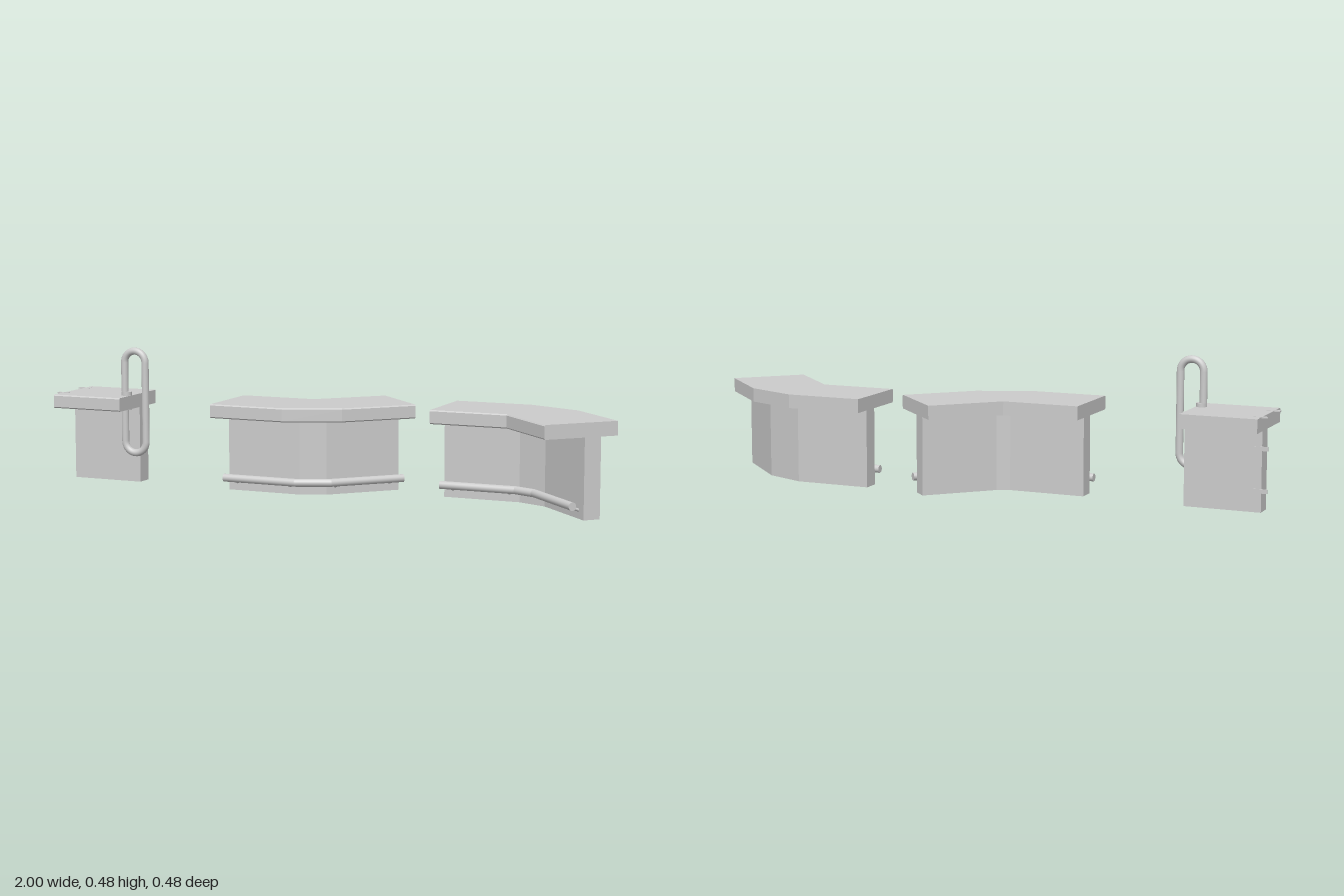
import * as THREE from 'three';

const S = Math.SQRT1_2;
const LEN = 0.265, DEPTH = 0.261, H = 0.265, TOP = 0.312;
const mat = new THREE.MeshStandardMaterial({ color: 0xcccccc });

function add(parent, geo, name) {
  const m = new THREE.Mesh(geo, mat);
  m.name = name;
  parent.add(m);
  return m;
}

// Stations along a counter: p is the floor origin, n the direction across the counter.
// side = +1 bends round its back edge, -1 round its front edge.
function bentStations(x, z, side) {
  const p = new THREE.Vector3(x, 0, z);
  const n0 = new THREE.Vector3(0, 0, side), n1 = new THREE.Vector3(S, 0, S * side);
  return [
    { p: new THREE.Vector3(x - LEN, 0, z), n: n0 }, { p, n: n0 }, { p, n: n1 },
    { p: new THREE.Vector3(x + LEN * S, 0, z - LEN * S * side), n: n1 },
  ];
}
const at = (st, r, y) => st.p.clone().addScaledVector(st.n, r).setY(y);

// Sweeps a convex (r, y) profile through the stations with flat caps
function sweep(stations, profile, side) {
  const pos = [];
  const tri = (a, b, c) => {
    for (const v of side > 0 ? [a, b, c] : [a, c, b]) pos.push(v.x, v.y, v.z);
  };
  const rings = stations.map(st => profile.map(([r, y]) => at(st, r, y)));
  const n = profile.length;
  for (let i = 0; i < rings.length - 1; i++) {
    for (let j = 0; j < n; j++) {
      const k = (j + 1) % n, A = rings[i], B = rings[i + 1];
      tri(A[j], B[j], B[k]);
      tri(A[j], B[k], A[k]);
    }
  }
  const first = rings[0], last = rings[rings.length - 1];
  for (let j = 1; j < n - 1; j++) {
    tri(first[0], first[j], first[j + 1]);
    tri(last[0], last[j + 1], last[j]);
  }
  const g = new THREE.BufferGeometry();
  g.setAttribute('position', new THREE.Float32BufferAttribute(pos, 3));
  g.computeVertexNormals();
  return g;
}

// Round bar between two points
function bar(parent, a, b, radius, name, sides = 20) {
  const d = b.clone().sub(a);
  const m = add(parent, new THREE.CylinderGeometry(radius, radius, d.length(), sides), name);
  m.position.copy(a).add(b).multiplyScalar(0.5);
  m.quaternion.setFromUnitVectors(new THREE.Vector3(0, 1, 0), d.normalize());
}

// Worktop with an eased front edge, and the thin wall under it.
// Depths are measured from the back edge, then mirrored when side is -1.
function counter(parent, stations, side) {
  const c = 0.004;
  const map = list => side > 0 ? list : list.map(([r, y]) => [DEPTH - r, y]).reverse();
  const top = [[0, H], [DEPTH - c, H], [DEPTH, H + c], [DEPTH, TOP - c], [DEPTH - c, TOP], [0, TOP]];
  const wall = [[0.06, 0], [0.118, 0], [0.118, H], [0.06, H]];
  add(parent, sweep(stations, map(top), side), 'worktop');
  add(parent, sweep(stations, map(wall), side), 'wall');
}

// Foot rail following the front of the wall, on small sloping posts
function footRail(parent, stations, side) {
  const face = side > 0 ? 0.118 : DEPTH - 0.118;
  const r = face + 0.04 * side, y = 0.047, radius = 0.0135;
  const pts = stations.map(st => at(st, r, y));
  for (let i = 0; i < 3; i++) bar(parent, pts[i], pts[i + 1], radius, 'footRail');
  for (const i of [1, 2]) {
    add(parent, new THREE.SphereGeometry(radius, 20, 12), 'railJoint').position.copy(pts[i]);
  }
  for (const i of [0, 2]) {
    for (const t of [0.12, 0.87]) {
      const st = { p: stations[i].p.clone().lerp(stations[i + 1].p, t), n: stations[i].n };
      bar(parent, at(st, face - 0.003 * side, 0.027), at(st, r, 0.042), 0.005, 'railPost', 10);
    }
  }
}

// Closed upright oval handle
class OvalLoop extends THREE.Curve {
  constructor(radius, half) {
    super();
    this.r = radius;
    this.h = half;
  }
  getPoint(t, out = new THREE.Vector3()) {
    const { r, h } = this, arc = Math.PI * r, total = 2 * arc + 4 * h;
    let s = (t % 1) * total;
    const flip = s >= total / 2 ? -1 : 1;
    if (flip < 0) s -= total / 2;
    if (s < 2 * h) return out.set(r * flip, (s - h) * flip, 0);
    const a = (s - 2 * h) / r;
    return out.set(r * Math.cos(a) * flip, (h + r * Math.sin(a)) * flip, 0);
  }
}

export function createModel() {
  const model = new THREE.Group();
  model.name = 'counterSet';

  // Two bent counters, one curving backward and one forward
  for (const [name, x, z, side] of [['outwardCounter', -0.1, -0.055, 1], ['inwardCounter', 0.628, 0.05, -1]]) {
    const g = new THREE.Group();
    g.name = name;
    const stations = bentStations(x, z, side);
    counter(g, stations, side);
    footRail(g, stations, side);
    model.add(g);
  }

  // Short straight end counter
  const end = new THREE.Group();
  end.name = 'endCounter';
  const n = new THREE.Vector3(0, 0, 1);
  counter(end, [-0.98, -0.72].map(x => ({ p: new THREE.Vector3(x, 0, -0.07), n })), 1);

  // Loop handle through the worktop, with its collar
  const loop = add(end, new THREE.TubeGeometry(new OvalLoop(0.04, 0.1375), 120, 0.0125, 16, true), 'loopHandle');
  loop.position.set(-0.704, 0.29, 0.107);
  const collar = add(end, new THREE.CylinderGeometry(0.018, 0.018, 0.063, 24), 'handleCollar');
  collar.position.set(-0.738, 0.2935, 0.107);

  // Thin joining plates: two on the worktop, two on the back of the wall
  for (const z of [-0.02, 0.126]) {
    add(end, new THREE.BoxGeometry(0.045, 0.004, 0.014), 'worktopPlate').position.set(-0.9775, 0.311, z);
  }
  for (const y of [0.07, 0.208]) {
    add(end, new THREE.BoxGeometry(0.045, 0.014, 0.004), 'wallPlate').position.set(-0.9775, y, -0.011);
  }
  model.add(end);
  return model;
}
